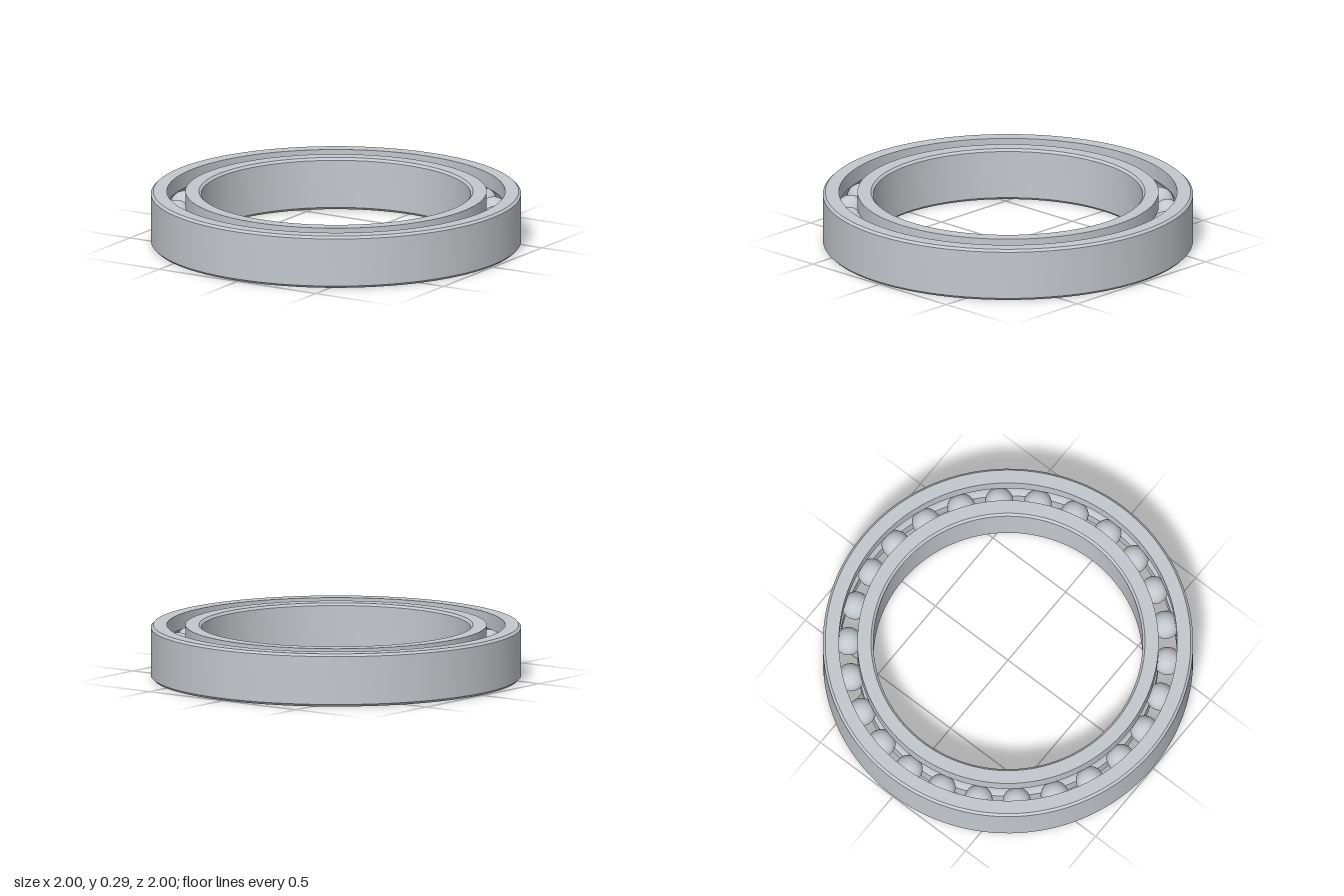
import * as THREE from 'three';
import { toCreasedNormals } from 'three/addons/utils/BufferGeometryUtils.js';

const HEIGHT = 0.288, MID = HEIGHT / 2;
const PITCH = 0.8635;        // radius of the ball circle
const BALL = 0.076, BALLS = 26;
const GROOVE = 0.077;        // radius of the raceway groove
const GAP = 0.05;            // from ball circle to each ring's face
const CHAMFER = 0.013;

// Closed section of a ring: a chamfered plain face and a grooved face.
// side is +1 for the outer ring, -1 for the inner ring.
function ringSection(plain, side) {
  const face = PITCH + side * GAP;
  const c = side * CHAMFER;
  const half = Math.acos(GAP / GROOVE);
  const points = [
    [face, 0],
    [plain - c, 0],
    [plain, CHAMFER],
    [plain, HEIGHT - CHAMFER],
    [plain - c, HEIGHT],
    [face, HEIGHT],
  ];
  const steps = 14;
  for (let i = 0; i <= steps; i++) {
    const a = half * (1 - (2 * i) / steps);
    points.push([PITCH + side * GROOVE * Math.cos(a), MID + GROOVE * Math.sin(a)]);
  }
  points.push([face, 0]);
  if (side < 0) points.reverse();
  return points.map(([x, y]) => new THREE.Vector2(x, y));
}

export function createModel() {
  const model = new THREE.Group();
  model.name = 'ballBearing';
  const steel = new THREE.MeshStandardMaterial({ color: 0xc4c7cc });
  steel.name = 'steel';

  // Outer and inner races
  for (const [name, plain, side] of [['outerRing', 1, 1], ['innerRing', 0.727, -1]]) {
    const lathe = new THREE.LatheGeometry(ringSection(plain, side), 128);
    const ring = new THREE.Mesh(toCreasedNormals(lathe, Math.PI / 6), steel);
    ring.name = name;
    model.add(ring);
  }

  // Balls spaced evenly in the raceway
  const balls = new THREE.Group();
  balls.name = 'balls';
  const ballGeometry = new THREE.SphereGeometry(BALL, 32, 20);
  for (let i = 0; i < BALLS; i++) {
    const a = (i / BALLS) * Math.PI * 2;
    const ball = new THREE.Mesh(ballGeometry, steel);
    ball.name = 'ball';
    ball.position.set(PITCH * Math.cos(a), MID, PITCH * Math.sin(a));
    balls.add(ball);
  }
  model.add(balls);
  return model;
}
